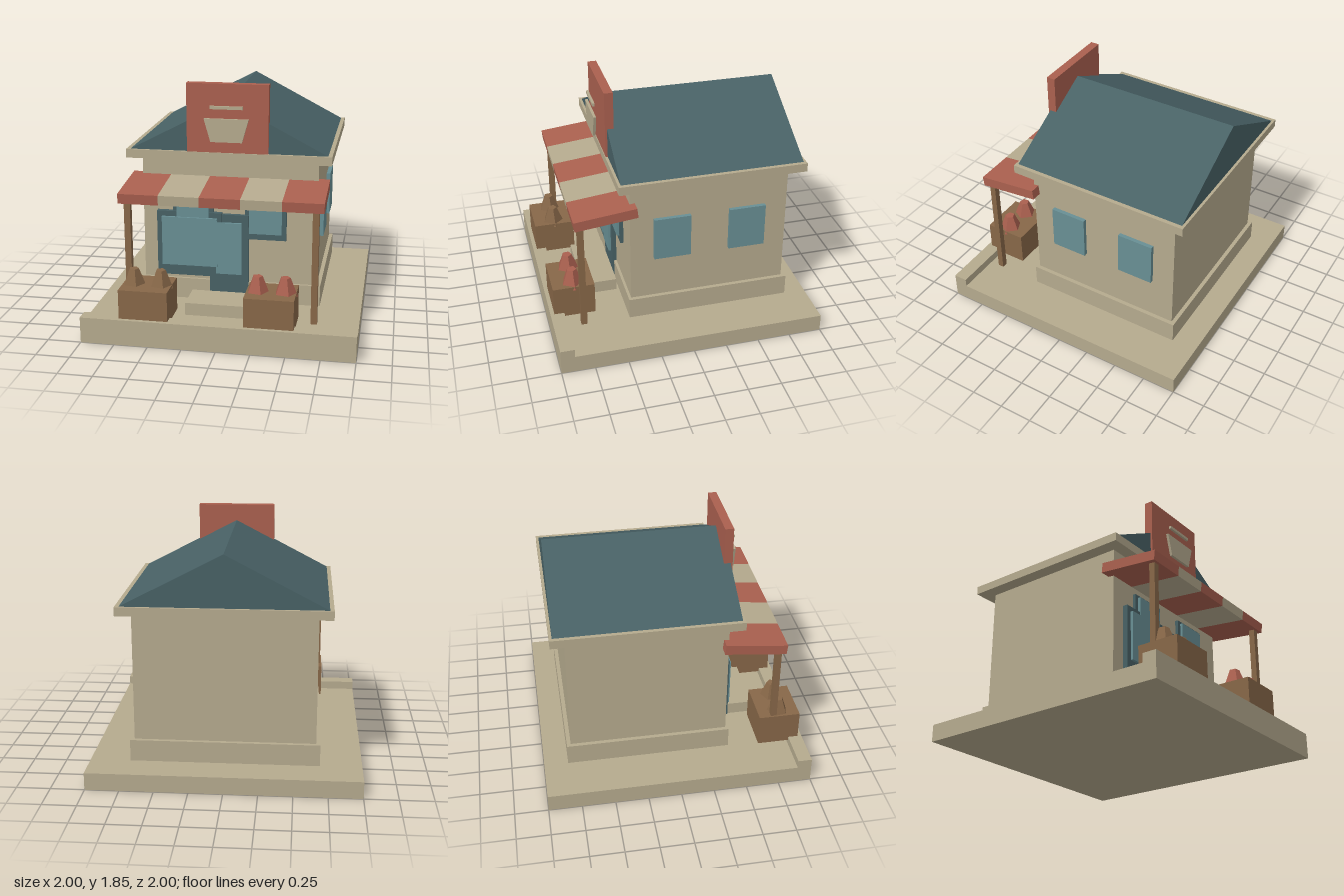
import * as THREE from 'three';

const mat = (name, color) => {
  const m = new THREE.MeshStandardMaterial({ color });
  m.name = name;
  return m;
};

export function createModel() {
  const stone = mat('stone', 0xb5aa8e);
  const red = mat('brick red', 0xaa604f);
  const slate = mat('slate', 0x486165);
  const glass = mat('glass', 0x688f94);
  const wood = mat('wood', 0x876748);

  const model = new THREE.Group();
  model.name = 'shop';

  const add = (name, geometry, material, parent = model) => {
    const mesh = new THREE.Mesh(geometry, material);
    mesh.name = name;
    parent.add(mesh);
    return mesh;
  };
  // Box given by its extents on each axis
  const box = (name, material, [x0, x1], [y0, y1], [z0, z1], parent) => {
    const mesh = add(name, new THREE.BoxGeometry(x1 - x0, y1 - y0, z1 - z0), material, parent);
    mesh.position.set((x0 + x1) / 2, (y0 + y1) / 2, (z0 + z1) / 2);
    return mesh;
  };
  // Outline in x and y, extruded from z0 to z1
  const plate = (name, material, points, z0, z1) => {
    const shape = new THREE.Shape(points.map(([x, y]) => new THREE.Vector2(x, y)));
    const geometry = new THREE.ExtrudeGeometry(shape, { depth: z1 - z0, bevelEnabled: false });
    add(name, geometry, material).position.z = z0;
  };

  // Ground slab, kerb and step
  box('ground', stone, [-1, 1], [0, 0.13], [-1, 1]);
  box('kerb', stone, [-1, 1], [0.13, 0.195], [0.895, 1]);
  box('doorStep', stone, [-0.285, 0.285], [0.14, 0.235], [0.435, 0.7]);

  // Building
  box('plinth', stone, [-0.69, 0.69], [0.16, 0.32], [-0.82, 0.42]);
  box('walls', stone, [-0.66, 0.66], [0.32, 1.28], [-0.79, 0.4]);
  box('eaves', stone, [-0.76, 0.76], [1.275, 1.34], [-0.895, 0.495]);
  plate('roof', slate, [[-0.73, 1.34], [0.73, 1.34], [0, 1.72]], -0.875, 0.475);

  // Sign board with a raised basket shape and bar
  box('signBoard', red, [-0.3, 0.3], [1.34, 1.845], [0.425, 0.49]);
  plate('signBasket', stone, [[-0.115, 1.43], [0.115, 1.43], [0.163, 1.6], [-0.163, 1.6]], 0.525, 0.545);
  box('signBar', stone, [-0.12, 0.12], [1.67, 1.692], [0.525, 0.543]);

  // Door and shop window
  box('doorFrame', slate, [-0.148, 0.148], [0.18, 0.85], [0.4, 0.432]);
  box('doorGlass', glass, [-0.098, 0.098], [0.385, 0.79], [0.43, 0.452]);
  box('shopWindowFrame', slate, [-0.55, -0.055], [0.355, 0.86], [0.4, 0.44]);
  box('shopWindowGlass', glass, [-0.51, -0.088], [0.44, 0.82], [0.44, 0.46]);

  // Small front windows
  for (const x of [-0.275, 0.275]) {
    box('windowFrame', slate, [x - 0.155, x + 0.155], [0.665, 1], [0.4, 0.425]);
    box('windowGlass', glass, [x - 0.123, x + 0.123], [0.715, 0.98], [0.425, 0.445]);
  }
  // Side windows, left wall only
  for (const z of [0.087, -0.483]) {
    box('sideWindow', glass, [0.66, 0.69], [0.655, 0.99], [z - 0.138, z + 0.138]);
  }

  // Sloping awning in five stripes
  const awning = new THREE.Group();
  awning.name = 'awning';
  awning.position.set(0, 1.078, 0.587);
  awning.rotation.x = 0.107;
  model.add(awning);
  for (let i = 0; i < 5; i++) {
    const x = -0.74 + i * 0.296;
    box('awningStripe', i % 2 ? stone : red, [x, x + 0.296], [-0.0375, 0.0375], [-0.231, 0.231], awning);
  }
  for (const x of [-0.68, 0.68]) {
    box('awningPost', wood, [x - 0.023, x + 0.023], [0.175, 1.03], [0.745, 0.79]);
  }

  // Crates, each with two faceted pieces of produce
  for (const [x, material] of [[-0.535, wood], [0.375, red]]) {
    box('crate', wood, [x - 0.18, x + 0.18], [0.165, 0.415], [0.655, 0.97]);
    for (const dx of [-0.1, 0.1]) {
      const geometry = new THREE.CylinderGeometry(0.037, 0.09, 0.14, 5).toNonIndexed();
      geometry.computeVertexNormals();
      const produce = add('produce', geometry, material);
      produce.position.set(x + dx, 0.46, 0.8125);
      produce.rotation.y = 0.42;
    }
  }

  return model;
}
